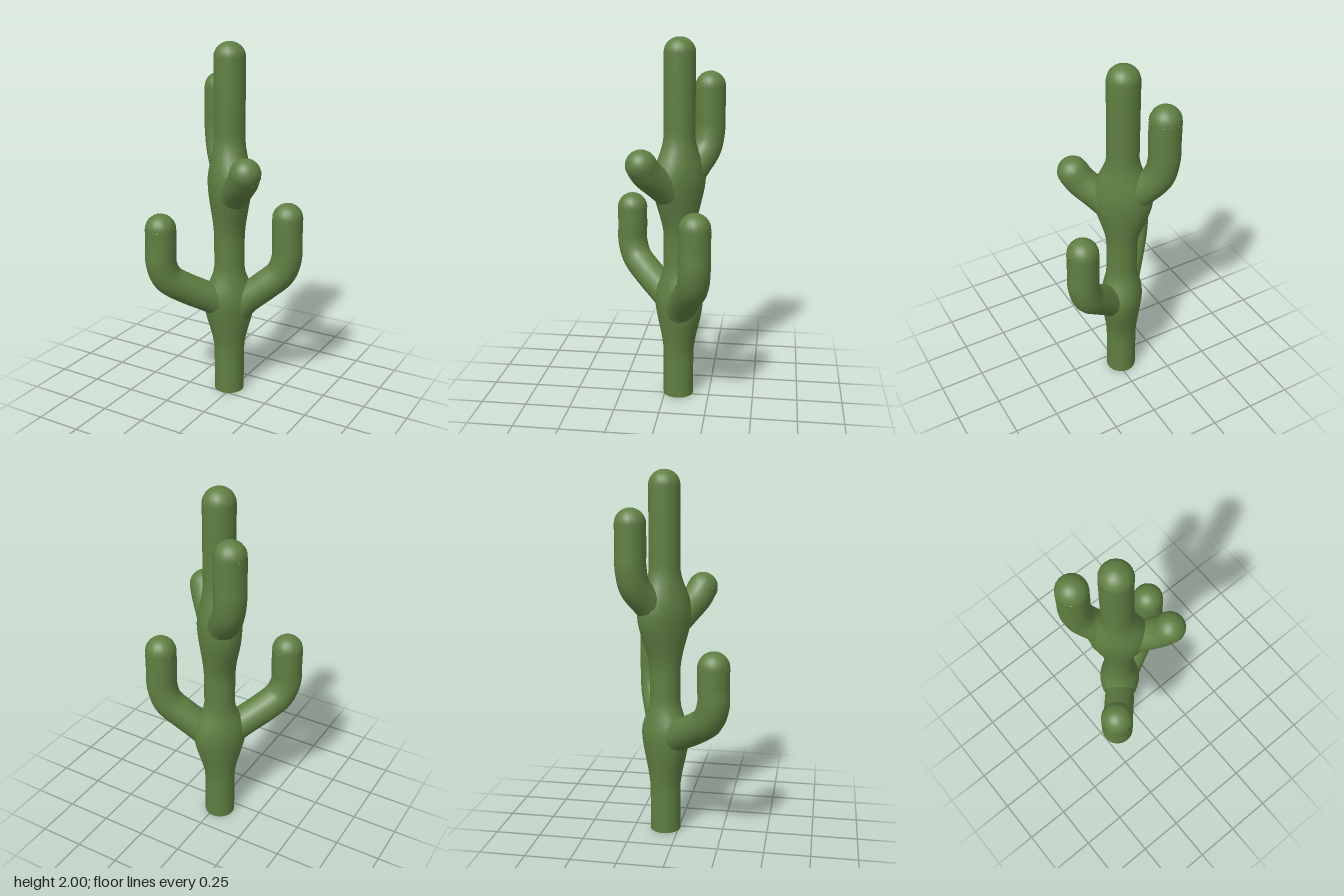
import * as THREE from 'three';
import { mergeVertices } from 'three/addons/utils/BufferGeometryUtils.js';

const R = 0.085, SIDES = 18;
const AXIS = { x: -0.025, z: -0.075 };
const skin = new THREE.MeshStandardMaterial({ color: 0x5f7f42, roughness: 0.9 });

function mesh(name, geometry) {
  const m = new THREE.Mesh(geometry, skin);
  m.name = name;
  return m;
}

// Swellings of the trunk where arms branch off: stretched along dir, less so across it
const swellings = [
  { from: 0.24, peak: 0.57, to: 0.76, dir: [-0.65, 0.76], along: 0.78, across: 0.36 },
  { from: 0.92, peak: 1.25, to: 1.49, dir: [0.75, 0.66], along: 0.95, across: 0.35 },
];

function trunkGeometry() {
  const profile = [];
  for (let i = 0; i <= 48; i++) profile.push(new THREE.Vector2(R, i * 1.92 / 48));
  for (let i = 1; i <= 8; i++) {
    const a = i / 8 * Math.PI / 2;
    profile.push(new THREE.Vector2(i === 8 ? 0 : R * Math.cos(a), 1.92 + 0.08 * Math.sin(a)));
  }
  let g = new THREE.LatheGeometry(profile, SIDES);
  const p = g.attributes.position;
  for (let i = 0; i < p.count; i++) {
    let x = p.getX(i), z = p.getZ(i);
    const y = p.getY(i);
    for (const s of swellings) {
      const k = y < s.peak
        ? THREE.MathUtils.smoothstep(y, s.from, s.peak)
        : 1 - THREE.MathUtils.smoothstep(y, s.peak, s.to);
      const [dx, dz] = s.dir;
      const u = (x * dx + z * dz) * (1 + s.along * k);
      const v = (z * dx - x * dz) * (1 + s.across * k);
      x = u * dx - v * dz;
      z = u * dz + v * dx;
    }
    p.setXYZ(i, x, y, z);
  }
  // weld the seam so the shading is continuous
  g.deleteAttribute('uv');
  g.deleteAttribute('normal');
  g = mergeVertices(g, 1e-5);
  g.computeVertexNormals();
  return g;
}

// A bent arm: constant-radius tube closed by a dome
function arm(name, points, radius = R) {
  const group = new THREE.Group();
  group.name = name;
  const curve = new THREE.CatmullRomCurve3(points.map(q => new THREE.Vector3(...q)));
  group.add(mesh(name + 'Stem', new THREE.TubeGeometry(curve, 40, radius, SIDES, false)));
  const dome = mesh(name + 'Tip',
    new THREE.SphereGeometry(radius, SIDES, 8, 0, Math.PI * 2, 0, Math.PI / 2));
  dome.position.copy(curve.getPoint(1));
  dome.quaternion.setFromUnitVectors(new THREE.Vector3(0, 1, 0), curve.getTangent(1));
  group.add(dome);
  return group;
}

export function createModel() {
  const cactus = new THREE.Group();
  cactus.name = 'cactus';

  const trunk = mesh('trunk', trunkGeometry());
  trunk.position.set(AXIS.x, 0, AXIS.z);
  const base = mesh('trunkBase', new THREE.CircleGeometry(R, SIDES));
  base.rotation.x = Math.PI / 2;
  base.position.set(AXIS.x, 0, AXIS.z);
  cactus.add(trunk, base);

  // Lower pair of arms
  cactus.add(arm('lowerRightArm', [
    [-0.06, 0.55, -0.03], [-0.11, 0.595, 0.03], [-0.19, 0.66, 0.12],
    [-0.255, 0.73, 0.195], [-0.28, 0.82, 0.225], [-0.28, 0.92, 0.225], [-0.28, 1.02, 0.225],
  ]));
  cactus.add(arm('lowerLeftArm', [
    [-0.01, 0.47, -0.08], [0.06, 0.56, -0.105], [0.16, 0.65, -0.145],
    [0.245, 0.735, -0.18], [0.275, 0.83, -0.19], [0.275, 0.94, -0.19], [0.275, 1.055, -0.19],
  ]));

  // Upper pair: one tall arm behind, one short bud in front
  cactus.add(arm('upperRightArm', [
    [-0.04, 1.22, -0.095], [-0.1, 1.31, -0.155], [-0.155, 1.4, -0.208],
    [-0.175, 1.5, -0.225], [-0.175, 1.6, -0.225], [-0.175, 1.73, -0.225],
  ], 0.083));
  cactus.add(arm('upperLeftBud', [
    [0.02, 1.17, -0.04], [0.08, 1.24, 0.02], [0.14, 1.305, 0.075], [0.17, 1.357, 0.102],
  ], 0.083));

  return cactus;
}
